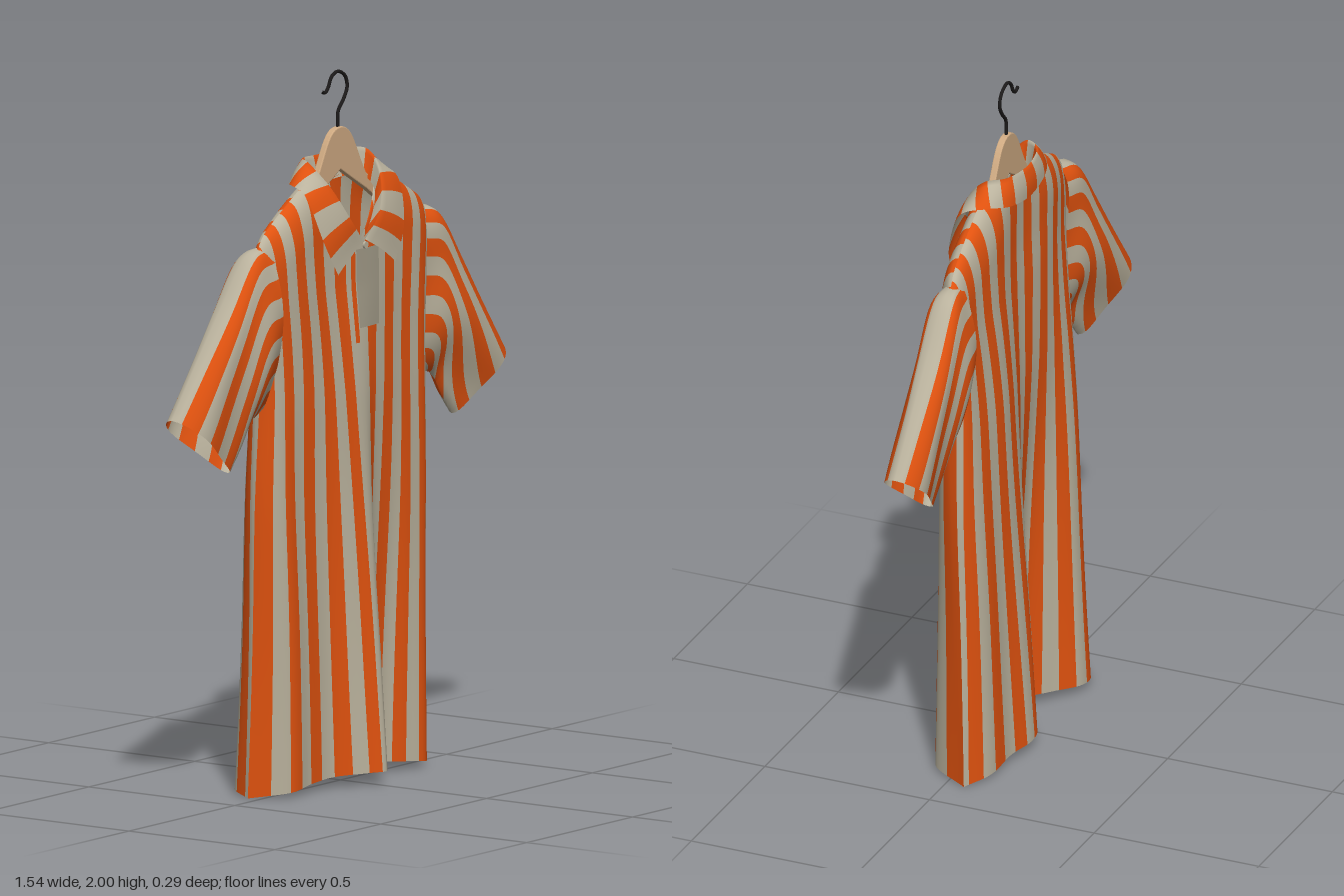
import * as THREE from 'three';

const mat = (name, color, side = THREE.FrontSide) => {
  const m = new THREE.MeshStandardMaterial({ color, side });
  m.name = name;
  return m;
};
const { clamp, lerp } = THREE.MathUtils;
const V = (x, y, z) => new THREE.Vector3(x, y, z);
const curve = pts => new THREE.CatmullRomCurve3(pts.map(p => V(...p)), false, 'catmullrom', 0.5);

// Smooth sheet fn(u, v): the intervals between edges take the materials in turn
function sheet(name, fn, edges, sub, rows, mats) {
  const us = [edges[0]], owner = [];
  for (let i = 0; i + 1 < edges.length; i++)
    for (let k = 1; k <= sub; k++) {
      us.push(lerp(edges[i], edges[i + 1], k / sub));
      owner.push(i % mats.length);
    }
  const pos = [], faces = mats.map(() => []), n = rows + 1;
  for (const u of us) for (let j = 0; j <= rows; j++) pos.push(...fn(u, j / rows).toArray());
  owner.forEach((m, i) => {
    for (let j = 0; j < rows; j++) {
      const a = i * n + j, b = a + n;
      faces[m].push(a, b, b + 1, a, b + 1, a + 1);
    }
  });
  const g = new THREE.BufferGeometry();
  g.setAttribute('position', new THREE.Float32BufferAttribute(pos, 3));
  g.setIndex(faces.flat());
  let start = 0;
  faces.forEach((f, m) => { g.addGroup(start, f.length, m); start += f.length; });
  g.computeVertexNormals();
  const mesh = new THREE.Mesh(g, mats);
  mesh.name = name;
  return mesh;
}
const even = (a, b, n) => Array.from({ length: n + 1 }, (_, i) => lerp(a, b, i / n));

// Body: half width by height, and folded hem lines for the front and back
const U = 0.468, NECK = 0.15;
const sideLine = curve([[0.39, 0, 0], [0.405, 0.4, 0], [0.422, 0.8, 0], [0.41, 1.2, 0], [0.445, 1.6, 0]]);
const hems = {
  front: curve([[-0.39, 0, -0.035], [-0.31, 0, 0.055], [-0.215, 0, 0.055], [-0.12, 0, 0.065], [-0.033, 0, 0.122],
    [0.022, 0, 0.148], [0.06, 0, 0.045], [0.15, 0, 0.025], [0.235, 0, 0.055], [0.325, 0, 0.06], [0.39, 0, -0.055]]),
  back: curve([[-0.39, 0, -0.035], [-0.35, 0, -0.11], [-0.27, 0, -0.12], [-0.18, 0, -0.06], [-0.09, 0, 0],
    [0, 0, -0.03], [0.04, 0, -0.12], [0.11, 0, -0.14], [0.2, 0, -0.115], [0.31, 0, -0.105], [0.39, 0, -0.055]])
};
const across = w => 1.15 * w - 0.15 * w ** 5;
function topLine(u, s) {
  const x = Math.abs(0.44 * across(u / U));
  if (x > NECK) return 1.715 - (x - NECK) * 0.52 - 0.03 * (Math.max(0, x - 0.37) / 0.07) ** 2;
  const k = x / NECK;
  return s > 0 ? 1.51 + 0.205 * k ** 1.3 : 1.685 + 0.03 * k * k;
}
function bodyPoint(u, y, s) {
  const w = u / U, top = topLine(u, s);
  const x = sideLine.getPoint(clamp(y / 1.6, 0, 1)).x * across(w);
  const k = Math.min(1, Math.abs(x) / NECK);
  const open = Math.sqrt(1 - k * k);
  const t = clamp((y - top + 0.13) / 0.13, 0, 1);
  const close = open + (1 - open) * Math.sqrt(1 - t * t);
  const ripple = 1 + 0.08 * Math.sin(w * 9 + y * 4 + s);
  const depth = lerp(0.065, 0.052, clamp((y - 1.1) / 0.4, 0, 1));
  const twist = -0.003 - 0.032 * w * Math.abs(w);
  const z = s * depth * Math.sqrt(Math.max(0, 1 - w ** 4)) * close * ripple + twist;
  const hem = (s > 0 ? hems.front : hems.back).getPoint((w + 1) / 2);
  const b = clamp(1 - y / 1.4, 0, 1);
  return V(lerp(x, hem.x, b), y, lerp(z, hem.z, b));
}
function bodyPanel(s) {
  return (a, r) => {
    const u = a * s, low = 0.038 * (1 - (u / U) ** 2);
    return bodyPoint(u, lerp(low, topLine(u, s), 1 - (1 - r) ** 1.7), s);
  };
}

// Stripe edges mirrored about the middle, the first orange one centred on c
function stripeEdges(c, count) {
  const half = [];
  for (let k = 0; k < count; k++) half.push(c + 0.095 * k - 0.024, c + 0.095 * k + 0.024);
  return [...half.map(e => -e).reverse(), ...half];
}

// Sleeve: x, y and half depth along the top; x, y along the bottom; z at shoulder, cuff top and cuff bottom
const sleeveTop = curve([[0.385, 1.565, 0.05], [0.465, 1.54, 0.066], [0.565, 1.41, 0.064], [0.67, 1.265, 0.055], [0.77, 1.12, 0.048]]);
const sleeveLow = curve([[0.37, 1.12, 0], [0.43, 1.09, 0], [0.475, 1.07, 0], [0.515, 1.01, 0], [0.565, 0.948, 0]]);
function sleeve(sx, zShoulder, zTop, zLow) {
  // d is the distance down from the top edge, so stripes keep their width and run out underneath
  return (d, v) => {
    const a = sleeveTop.getPoint(v), b = sleeveLow.getPoint(v);
    const q = Math.min(1, Math.abs(d) / (1.06 * Math.hypot(a.x - b.x, a.y - b.y)));
    const angle = Math.sign(d) * lerp(Math.PI * q, Math.acos(1 - 2 * q), 0.6);
    const c = Math.cos(angle), k = (1 + c) / 2;
    const bulge = Math.sin(angle) * (1 + 0.3 * c) * (1 + 0.15 * Math.sin(3 * angle + 5 * v));
    const z = lerp(zShoulder, lerp(zLow, zTop, k), v);
    return V(sx * lerp(b.x, a.x, k), lerp(b.y, a.y, k), z + sx * a.z * bulge);
  };
}

// Collar lines run from the right tip round the back of the neck to the left tip
const around = half => curve([
  ...half.map(([x, y, z]) => [-x, y, z]),
  ...half.slice(0, -1).reverse()
]);
const stand = around([[0.005, 1.5, 0.054], [0.055, 1.56, 0.057], [0.105, 1.64, 0.042], [0.125, 1.68, -0.005], [0.09, 1.685, -0.045], [0, 1.68, -0.055]]);
const fold = around([[0.006, 1.53, 0.08], [0.07, 1.6, 0.084], [0.118, 1.69, 0.052], [0.14, 1.755, -0.005], [0.1, 1.76, -0.058], [0, 1.755, -0.074]]);
const edge = around([[0.135, 1.45, 0.09], [0.19, 1.55, 0.08], [0.215, 1.675, 0.038], [0.19, 1.7, -0.035], [0.12, 1.685, -0.078], [0, 1.67, -0.088]]);
function collar(t, v) {
  const f = fold.getPoint(t);
  if (v < 0.5) return stand.getPoint(t).lerp(f, v * 2);
  const k = v * 2 - 1, p = f.lerp(edge.getPoint(t), k);
  const puff = 0.006 * Math.sin(Math.PI * k), r = Math.hypot(p.x, p.z) || 1;
  return p.add(V(puff * p.x / r, puff * 0.4, puff * p.z / r));
}

export function createModel() {
  const root = new THREE.Group();
  root.name = 'shirtOnHanger';
  const orange = mat('orangeFabric', 0xe0520f, THREE.DoubleSide);
  const cream = mat('creamFabric', 0xbab29d, THREE.DoubleSide);
  const placketCream = mat('dullCreamFabric', 0xa39c89, THREE.DoubleSide);
  const wood = mat('paleWood', 0xcfaa82);
  const metal = mat('blackMetal', 0x1c1a1a);

  // Body front and back with upright stripes
  root.add(sheet('bodyFront', bodyPanel(1), stripeEdges(0.065, 5).map(e => clamp(e, -U, U)), 4, 44, [orange, cream]));
  root.add(sheet('bodyBack', bodyPanel(-1), [-U, ...stripeEdges(0.0475, 5), U], 4, 44, [cream, orange]));

  // Sleeves with stripes along the arm
  const sleeveStripes = stripeEdges(0.0475, 6);
  root.add(sheet('leftSleeve', sleeve(1, -0.03, -0.015, -0.03), sleeveStripes, 4, 28, [orange, cream]));
  root.add(sheet('rightSleeve', sleeve(-1, 0.02, -0.02, 0.025), sleeveStripes, 4, 28, [orange, cream]));

  // Folded collar
  root.add(sheet('collar', collar, even(0, 1, 19), 4, 12, [cream, orange]));

  // Button placket and its opening
  const patch = (name, u0, u1, y0, y1, lift, m) =>
    root.add(sheet(name, (u, v) => bodyPoint(u, lerp(y0, y1, v), 1).add(V(0, 0, lift)), [u0, u1], 6, 10, [m]));
  patch('placket', -0.005, 0.095, 1.28, 1.5, 0.006, placketCream);
  patch('placketOpening', -0.026, -0.008, 1.24, 1.5, 0.005, orange);
  const button = new THREE.Mesh(new THREE.CylinderGeometry(0.01, 0.01, 0.006, 16), cream);
  button.name = 'collarButton';
  button.rotation.x = Math.PI / 2;
  button.position.set(0.005, 1.515, 0.082);
  root.add(button);

  // Wooden hanger with a domed centre and sloping arms
  const s = new THREE.Shape();
  s.moveTo(0, 1.84);
  s.bezierCurveTo(0.06, 1.84, 0.07, 1.77, 0.12, 1.695);
  s.lineTo(0.34, 1.555);
  s.quadraticCurveTo(0.37, 1.53, 0.34, 1.505);
  s.lineTo(0.12, 1.65);
  s.quadraticCurveTo(0.05, 1.69, 0, 1.72);
  s.quadraticCurveTo(-0.05, 1.69, -0.12, 1.65);
  s.lineTo(-0.34, 1.505);
  s.quadraticCurveTo(-0.37, 1.53, -0.34, 1.555);
  s.lineTo(-0.12, 1.695);
  s.bezierCurveTo(-0.07, 1.77, -0.06, 1.84, 0, 1.84);
  const hanger = new THREE.Mesh(new THREE.ExtrudeGeometry(s, {
    depth: 0.014, bevelEnabled: true, bevelSize: 0.003, bevelThickness: 0.003, bevelOffset: -0.003, bevelSegments: 2
  }), wood);
  hanger.name = 'hanger';
  hanger.position.z = -0.016;
  root.add(hanger);

  // Wire hook
  const path = curve([[0, 1.82, 0], [0, 1.88, 0], [0.025, 1.912, 0], [0.043, 1.945, 0], [0.033, 1.978, 0], [0, 1.995, 0],
    [-0.03, 1.984, 0], [-0.047, 1.955, 0], [-0.062, 1.943, 0], [-0.08, 1.95, 0]]);
  const hook = new THREE.Mesh(new THREE.TubeGeometry(path, 60, 0.005, 8), metal);
  hook.name = 'hook';
  hook.position.z = -0.009;
  root.add(hook);
  return root;
}
